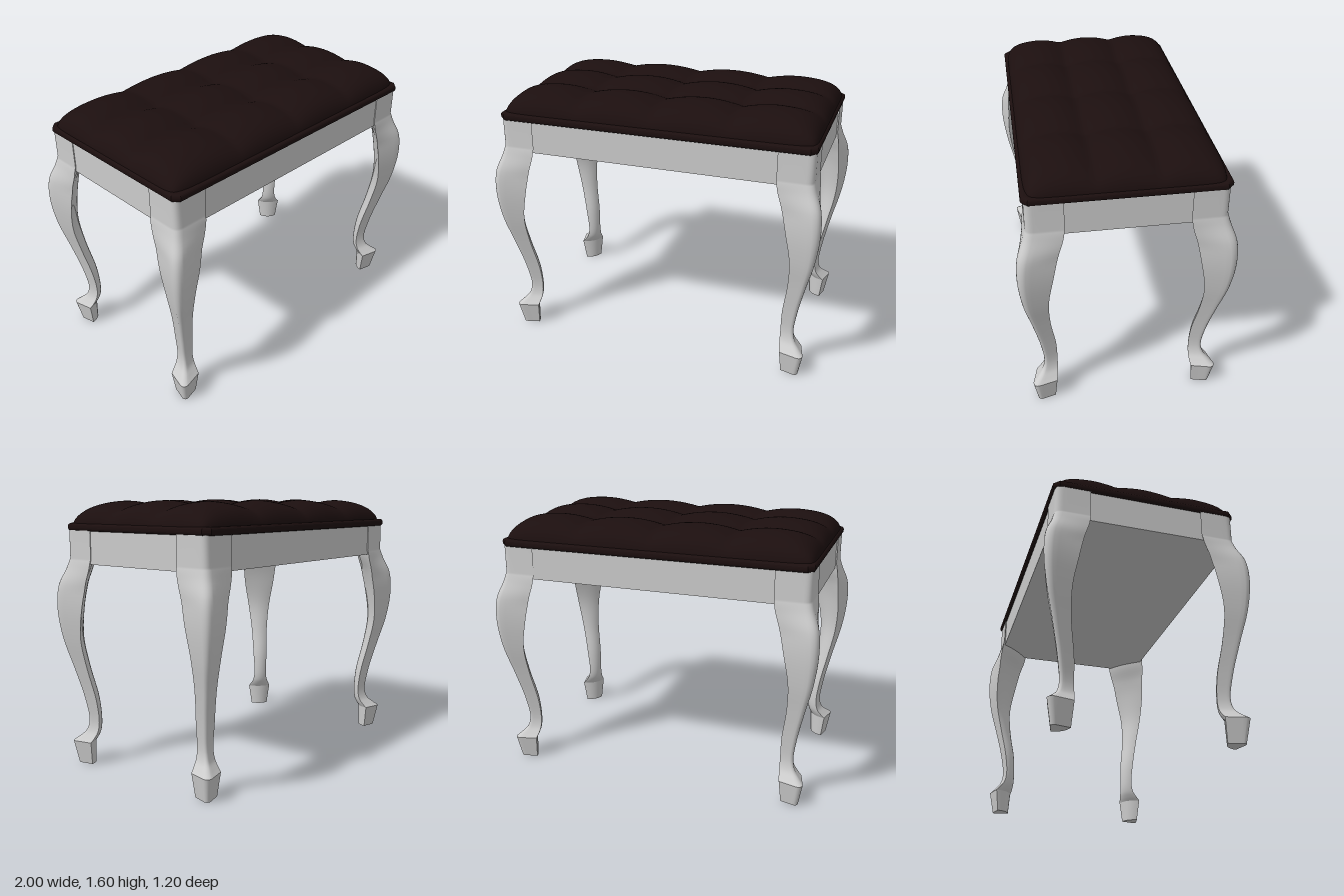
import * as THREE from 'three';
import { mergeGeometries } from 'three/addons/utils/BufferGeometryUtils.js';

const grey = new THREE.MeshStandardMaterial({ color: 0xcccccc });
const dark = new THREE.MeshStandardMaterial({ color: 0x1c0f0f });

// Smooth surface through equal-length rows of [x, y, z]
function grid(rows, flip = false) {
  const n = rows[0].length, index = [];
  for (let j = 0; j < rows.length - 1; j++) {
    for (let i = 0; i < n - 1; i++) {
      const a = j * n + i, b = a + 1, c = b + n, d = a + n;
      if (flip) index.push(a, c, b, a, d, c);
      else index.push(a, b, c, a, c, d);
    }
  }
  const g = new THREE.BufferGeometry();
  g.setAttribute('position', new THREE.Float32BufferAttribute(rows.flat(2), 3));
  g.setIndex(index);
  g.computeVertexNormals();
  return g;
}

// Horizontal rectangular slab with cut corners and an optional rounded rim
function slab(x, z, cut, y0, y1, bevel = 0) {
  x -= bevel; z -= bevel;
  const shape = new THREE.Shape([
    [x, z - cut], [x - cut, z], [cut - x, z], [-x, z - cut],
    [-x, cut - z], [cut - x, -z], [x - cut, -z], [x, cut - z],
  ].map(p => new THREE.Vector2(...p)));
  const g = new THREE.ExtrudeGeometry(shape, {
    depth: y1 - y0 - 2 * bevel, bevelEnabled: bevel > 0,
    bevelSize: bevel, bevelThickness: bevel, bevelSegments: 4,
  });
  return g.rotateX(-Math.PI / 2).translate(0, y0 + bevel, 0);
}

// Leg levels: [inner x, y, outer x]; z follows x at a constant offset
const OFFSET = 0.4;
const shank = [
  [0.808, 0.14, 0.95], [0.802, 0.165, 0.922], [0.798, 0.2, 0.891], [0.797, 0.26, 0.876],
  [0.802, 0.4, 0.892], [0.83, 0.6, 0.935], [0.836, 0.78, 0.978], [0.805, 0.96, 1.0],
  [0.775, 1.1, 0.992], [0.745, 1.2, 0.957], [0.735, 1.26, 0.94],
];

function bezier(a, b, c, n) {
  const v = p => new THREE.Vector2(...p);
  return new THREE.QuadraticBezierCurve(v(a), v(b), v(c)).getPoints(n).map(p => [p.x, p.y]);
}

// Cross-section: rounded outer corner and a nearly flat diagonal inner face
function section([inner, y, outer], sx, sz) {
  const s = 0.8 + 0.2 * THREE.MathUtils.smoothstep(y, 1.05, 1.26);
  const c = 0.12 + 0.26 * THREE.MathUtils.smoothstep(y, 0.4, 1.1);
  const side = bezier([0, s], [0.4, 0.5 + s / 2], [0.78, 1], 5);
  const corner = bezier([0.78, 1], [1, 1], [1, 0.78], 6).slice(1);
  const other = side.map(([x, z]) => [z, x]).reverse().slice(1);
  const out = [...side, ...corner, ...other];
  const back = bezier([s, 0], [c, c], [0, s], out.length - 1);
  const place = ([u, v]) => {
    const w = outer - inner;
    return [sx * (inner + u * w), y, sz * (inner - OFFSET + v * w)];
  };
  return { out: out.map(place), back: back.map(place) };
}

function legGeometry(sx, sz) {
  const flip = sx * sz < 0, parts = [];
  const curve = new THREE.CatmullRomCurve3(shank.map(p => new THREE.Vector3(...p)), false, 'centripetal');
  const shankLevels = curve.getPoints(50).map(p => p.toArray());
  const post = [[0.735, 1.26, 0.94], [0.735, 1.425, 0.94]];
  const foot = [[0.82, 0, 0.925], [0.808, 0.14, 0.95]];
  for (const levels of [foot, [...shankLevels, post[1]]]) {
    const rings = levels.map(l => section(l, sx, sz));
    parts.push(grid(rings.map(r => r.out), flip), grid(rings.map(r => r.back), flip));
  }
  // sole and top closure
  const sole = section(foot[0], sx, sz), top = section(post[1], sx, sz);
  parts.push(grid([[...sole.back].reverse(), sole.out], flip));
  parts.push(grid([top.out, [...top.back].reverse()], flip));
  return mergeGeometries(parts);
}

// Padded top: steep rounded rim with soft channels 4 across by 3 deep
function cushionGeometry() {
  const X = 0.937, Z = 0.535, NX = 112, NZ = 72;
  const dip = (p, valleys, width) =>
    Math.max(...valleys.map(v => Math.max(0, 1 - Math.abs(p - v) / width))) ** 2;
  const rows = [];
  for (let j = 0; j <= NZ; j++) {
    const tz = -Math.sin((j / NZ - 0.5) * Math.PI), row = [];
    for (let i = 0; i <= NX; i++) {
      const tx = Math.sin((i / NX - 0.5) * Math.PI);
      const rim = Math.sqrt(Math.max(0, (1 - Math.abs(tx) ** 10) * (1 - tz ** 6)));
      const dips = 0.032 * dip(tx * X, [-0.46, 0, 0.46], 0.23) + 0.036 * dip(tz * Z, [-0.17, 0.17], 0.17);
      const pull = 0.025 * Math.abs(tx * tz) ** 14;
      row.push([tx * X - Math.sign(tx) * pull, 1.45 + rim * (0.15 - dips), tz * Z - Math.sign(tz) * pull]);
    }
    rows.push(row);
  }
  return grid(rows);
}

export function createModel() {
  const group = new THREE.Group();
  const add = (name, geometry, material) => {
    const mesh = new THREE.Mesh(geometry, material);
    mesh.name = name;
    group.add(mesh);
  };

  // Frame and legs
  add('apron', slab(0.932, 0.532, 0.09, 1.23, 1.425), grey);
  for (const [sx, sz, name] of [
    [1, 1, 'frontLeftLeg'], [-1, 1, 'frontRightLeg'],
    [1, -1, 'backLeftLeg'], [-1, -1, 'backRightLeg'],
  ]) add(name, legGeometry(sx, sz), grey);

  // Upholstery
  add('cushionWelt', slab(0.947, 0.553, 0.025, 1.42, 1.465, 0.018), dark);
  add('cushion', cushionGeometry(), dark);
  return group;
}
